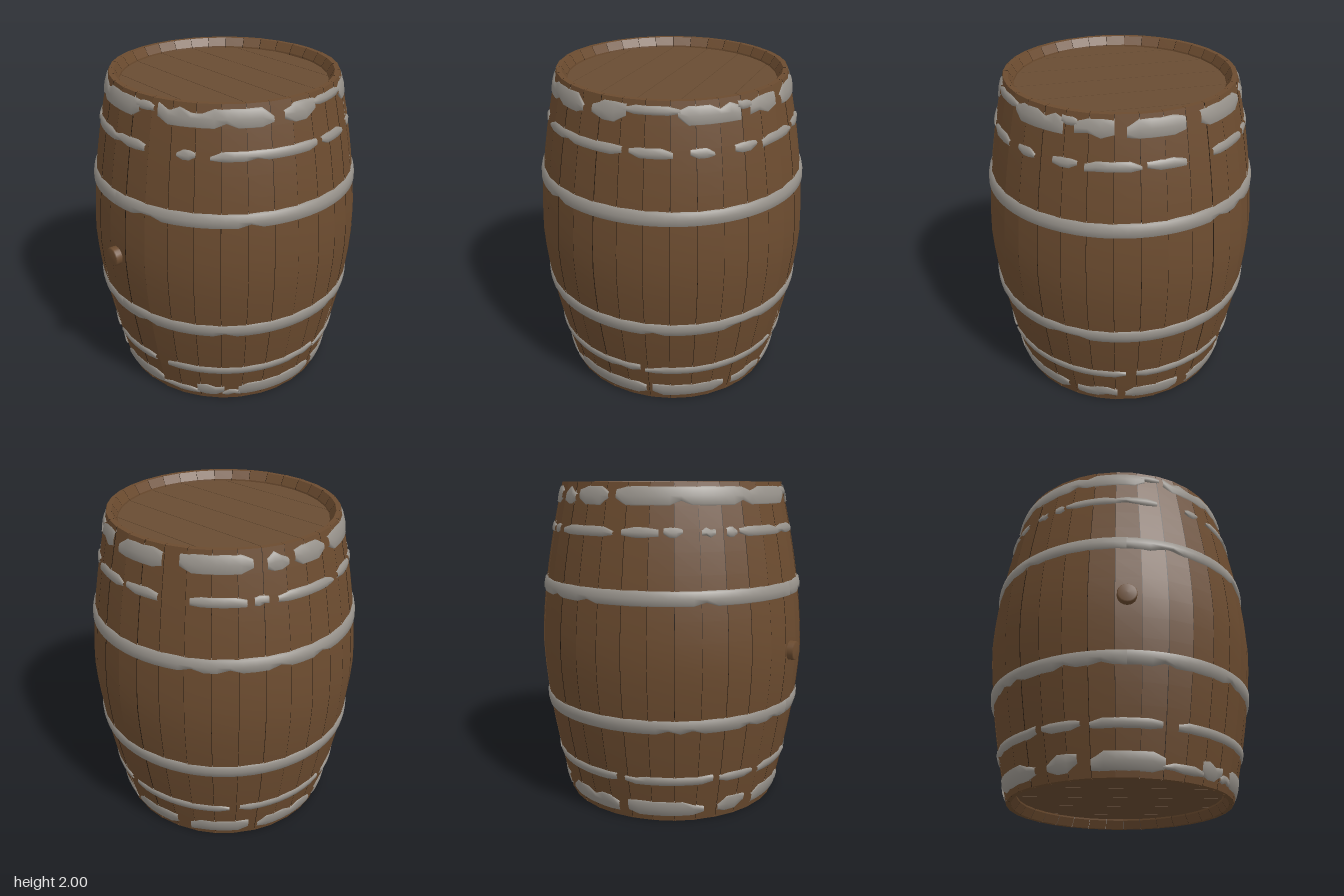
import * as THREE from 'three';
import { toCreasedNormals } from 'three/addons/utils/BufferGeometryUtils.js';

const RAD = Math.PI / 180;
const STAVES = 34;
const bulge = (y) => 0.845 - 0.155 * Math.pow(Math.abs(y - 1), 1.6);

// small seeded generator for wear and stave variation
function seeded(seed) {
  return () => {
    seed = (seed * 16807) % 2147483647;
    return seed / 2147483647;
  };
}

export function createModel() {
  const rand = seeded(4711);
  const mat = (name, color, side = THREE.FrontSide) => {
    const m = new THREE.MeshStandardMaterial({ color, side });
    m.name = name;
    return m;
  };
  const wood = mat('wood', 0x6b4b2f, THREE.DoubleSide);
  const headWood = mat('headWood', 0x694c32);
  const iron = mat('iron', 0x96918a, THREE.DoubleSide);
  const seam = mat('seam', 0x24190f, THREE.DoubleSide);

  const model = new THREE.Group();
  model.name = 'barrel';
  const body = new THREE.Group();
  body.name = 'barrelBody';
  body.position.z = -0.018;
  model.add(body);
  const add = (name, geometry, material, parent = body) => {
    const mesh = new THREE.Mesh(geometry, material);
    mesh.name = name;
    parent.add(mesh);
    return mesh;
  };

  // Staves: flat across, curved along their height, with a chamfered inner rim
  const staves = new THREE.Group();
  staves.name = 'staves';
  body.add(staves);
  const step = (Math.PI * 2) / STAVES;
  const gap = 0.0035;
  for (let i = 0; i < STAVES; i++) {
    const j = (rand() - 0.5) * 0.005;
    const pts = [[0.62, 0.12], [0.63, 0.05], [0.66, 0]];
    for (let k = 0; k <= 16; k++) pts.push([bulge(k / 8) + j, k / 8]);
    pts.push([0.66, 2], [0.63, 1.95], [0.62, 1.88]);
    const profile = pts.map(([r, y]) => new THREE.Vector2(r, y));
    const start = 0.105 + i * step + gap / 2;
    const geo = new THREE.LatheGeometry(profile, 1, start, step - gap);
    add('stave', toCreasedNormals(geo, 0.35), wood, staves);
  }

  // Dark lining seen through the seams between staves
  const lining = [];
  for (let k = 0; k <= 16; k++) {
    const y = 0.004 + (k / 16) * 1.992;
    lining.push(new THREE.Vector2(bulge(y) - 0.013, y));
  }
  add('seamLining', new THREE.LatheGeometry(lining, STAVES, 0.105), seam);

  // Heads: round lids cut into planks with narrow gaps
  const cuts = [-0.64, -0.49, -0.25, -0.02, 0.21, 0.45, 0.64];
  const R = 0.635;
  for (const [name, y] of [['bottomHead', 0.06], ['topHead', 1.92]]) {
    const head = new THREE.Group();
    head.name = name;
    body.add(head);
    for (let i = 0; i < cuts.length - 1; i++) {
      const a = Math.max(cuts[i] + 0.02, -R) + 0.002;
      const b = Math.min(cuts[i + 1] + 0.02, R) - 0.002;
      const shape = new THREE.Shape();
      const right = [], n = 8;
      for (let k = 0; k <= n; k++) {
        // even angular steps round the rim
        const t = THREE.MathUtils.lerp(Math.asin(a / R), Math.asin(b / R), k / n);
        right.push(new THREE.Vector2(R * Math.cos(t), -R * Math.sin(t)));
      }
      const left = right.map((p) => new THREE.Vector2(-p.x, p.y)).reverse();
      shape.setFromPoints([...right, ...left]);
      const geo = new THREE.ExtrudeGeometry(shape, { depth: 0.02, bevelEnabled: false });
      geo.rotateX(-Math.PI / 2);
      add('plank', geo, headWood, head).position.y = y;
    }
  }

  // Hoop: a softly rounded band; worn bands have ragged ends and nicked edges
  function hoopGeometry(y0, y1, a0, a1, worn, lift) {
    const mid = (y0 + y1) / 2, h = y1 - y0;
    const profile = [[0, -0.008], [0.1, 0.007 + lift], [0.5, 0.01 + lift], [0.9, 0.007 + lift], [1, -0.008]]
      .map(([t, d]) => new THREE.Vector2(bulge(y0 + t * h) + d, y0 + t * h));
    const segs = Math.max(3, Math.round((a1 - a0) / 5));
    const geo = new THREE.LatheGeometry(profile, segs, a0 * RAD, (a1 - a0) * RAD);
    const p = geo.attributes.position, n = profile.length;
    for (let c = 0; c <= segs; c++) {
      const end = worn && (c === 0 || c === segs);
      const squeeze = end ? 0.3 + 0.5 * rand() : 1;
      const lean = end ? (rand() - 0.5) * h * 0.4 : 0;
      const nick = !end && c > 0 && c < segs && rand() < 0.12 ? h * 0.22 : 0;
      const top = rand() < 0.4;
      for (let k = 0; k < n; k++) {
        const i = c * n + k;
        let y = mid + (p.getY(i) - mid) * squeeze + lean;
        if (!top && k < 2) y += nick;
        if (top && worn && k > 2) y -= nick;
        const s = bulge(y) / bulge(p.getY(i));
        p.setXYZ(i, p.getX(i) * s, y, p.getZ(i) * s);
      }
    }
    geo.computeVertexNormals();
    return geo;
  }

  // Whole hoops around the belly
  add('lowerBellyHoop', hoopGeometry(0.59, 0.68, 0, 360, false, 0.003), iron);
  add('upperBellyHoop', hoopGeometry(1.33, 1.42, 0, 360, false, 0.003), iron);

  // Worn hoops: arcs as [start, end] in degrees from the front
  const wornHoops = [
    ['topHoop', 1.87, 1.98, [[-84, 10], [20, 71], [76, 93], [115, 143], [148, 165],
      [170, 196], [204, 235], [241, 251], [254, 272]]],
    ['topHoopRemnant', 1.925, 1.975, [[8, 18], [92, 116], [142, 149]]],
    ['upperHoop', 1.7, 1.76, [[-80, -64], [-62, -54], [-46, -40], [-35, -30], [-29, 15], [30, 38],
      [44, 92], [95, 113], [120, 130], [139, 150], [153, 176], [178, 195], [209, 232], [235, 241], [245, 276]]],
    ['lowerHoop', 0.25, 0.31, [[-80, -40], [-37, -19], [-15, 15], [22, 98], [100, 170],
      [175, 225], [230, 276]]],
    ['bottomHoop', 0.03, 0.14, [[-80, -43], [-36, -21], [-15, 17], [36, 50], [57, 100],
      [103, 140], [145, 166], [170, 198], [205, 235], [240, 275]]],
    ['bottomHoopRemnant', 0.035, 0.09, [[16, 37], [49, 58]]],
  ];
  for (const [name, y0, y1, arcs] of wornHoops) {
    const hoop = new THREE.Group();
    hoop.name = name;
    body.add(hoop);
    for (const [a0, a1] of arcs) add('hoopArc', hoopGeometry(y0, y1, a0, a1, true, 0), iron, hoop);
  }

  // Bung on the front of the belly
  const bungProfile = [[0.058, 0], [0.058, 0.062], [0.052, 0.07], [0, 0.072]]
    .map(([r, y]) => new THREE.Vector2(r, y));
  const bung = add('bung', new THREE.LatheGeometry(bungProfile, 20), wood, model);
  bung.rotation.x = Math.PI / 2;
  bung.position.set(0, 1, 0.795);

  return model;
}
